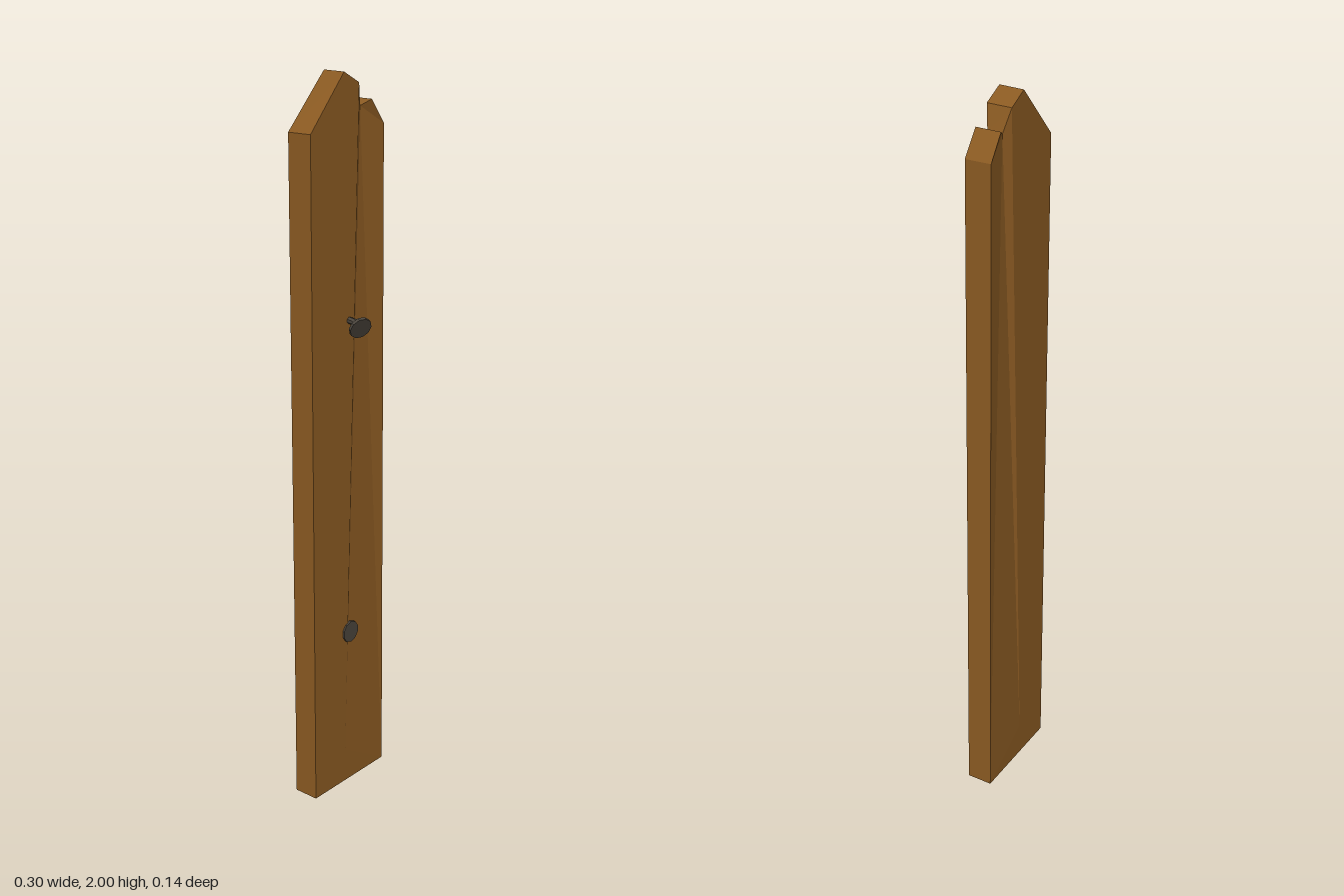
import * as THREE from 'three';

// Outline of the plank, anticlockwise from the front: x, y of the front, x of the back, inset of the crack floor
const OUTLINE = [
  [-0.149, 0, -0.149, 0],          // 0 bottom right
  [0.148, 0, 0.148, 0],            // 1 bottom left
  [0.136, 1.86, 0.137, 0],         // 2 left shoulder
  [0.087, 1.925, 0.092, 0],        // 3 small peak
  [0.057, 1.91, 0.063, 0.014],     // 4 crack floor
  [0.036, 1.97, 0.043, 0],         // 5 crack edge
  [-0.022, 2.0, -0.013, 0],        // 6 main peak
  [-0.149, 1.86, -0.149, 0],       // 7 right shoulder
  [-0.02, 0.1, -0.02, 0],          // 8 lower end of the crack
];
const FRONT = 0.005, BACK = -0.068;

function plankGeometry() {
  const front = OUTLINE.map(([x, y, , inset]) => [x, y, FRONT - inset]);
  const back = OUTLINE.map(([, y, x, inset]) => [x, y, BACK + inset]);
  const pos = [];
  const tri = (a, b, c) => pos.push(...a, ...b, ...c);
  // Broad faces with the crack wall between 8, 4 and 5
  const faces = [[7, 0, 8], [7, 8, 5], [7, 5, 6], [0, 1, 8], [8, 1, 4], [1, 2, 4], [2, 3, 4], [8, 4, 5]];
  for (const [a, b, c] of faces) {
    tri(front[a], front[b], front[c]);
    tri(back[a], back[c], back[b]);
  }
  // Rim from front to back
  for (let i = 0; i < 8; i++) {
    const j = (i + 1) % 8;
    tri(front[i], back[i], back[j]);
    tri(front[i], back[j], front[j]);
  }
  const geo = new THREE.BufferGeometry();
  geo.setAttribute('position', new THREE.Float32BufferAttribute(pos, 3));
  geo.computeVertexNormals();
  return geo;
}

export function createModel() {
  const wood = new THREE.MeshStandardMaterial({ color: 0x8a5a22 });
  wood.name = 'brown wood';
  const iron = new THREE.MeshStandardMaterial({ color: 0x4a443c });
  iron.name = 'dark iron';

  const model = new THREE.Group();
  model.name = 'crackedPlank';
  const add = (name, geo, mat, parent = model) => {
    const mesh = new THREE.Mesh(geo, mat);
    mesh.name = name;
    parent.add(mesh);
    return mesh;
  };
  const flat = (geo) => {
    const g = geo.toNonIndexed();
    g.computeVertexNormals();
    return g;
  };

  add('plank', plankGeometry(), wood);

  // Nail driven flush into the wood
  const flush = add('flushNailHead', flat(new THREE.CylinderGeometry(0.031, 0.031, 0.008, 10)), iron);
  flush.rotation.x = Math.PI / 2;
  flush.position.set(0, 0.47, 0.006);

  // Bent nail standing out of the wood
  const bent = new THREE.Group();
  bent.name = 'bentNail';
  model.add(bent);
  const axis = new THREE.Vector3(-0.33, -0.42, 0.85).normalize();
  const head = new THREE.Vector3(-0.012, 1.357, 0.05);
  const path = new THREE.CatmullRomCurve3([
    new THREE.Vector3(-0.002, 1.366, -0.005),
    new THREE.Vector3(-0.003, 1.367, 0.018),
    head.clone(),
  ]);
  add('bentNailShaft', flat(new THREE.TubeGeometry(path, 4, 0.0095, 7)), iron, bent);
  const disc = add('bentNailHead', flat(new THREE.CylinderGeometry(0.031, 0.031, 0.009, 10)), iron, bent);
  disc.position.copy(head);
  disc.quaternion.setFromUnitVectors(new THREE.Vector3(0, 1, 0), axis);

  return model;
}
